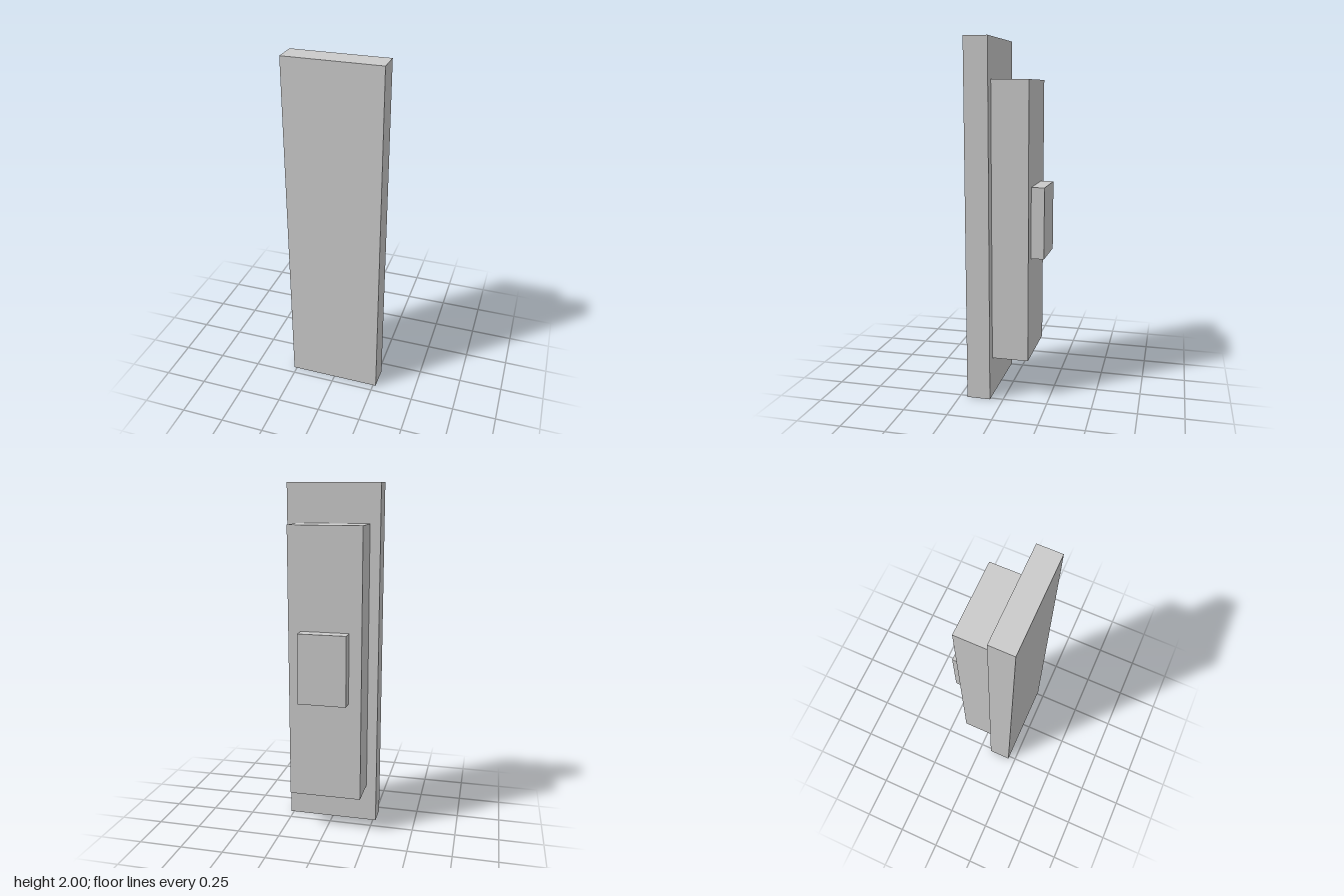
import * as THREE from 'three';

export function createModel() {
  const group = new THREE.Group();
  const material = new THREE.MeshStandardMaterial({ color: 0xcccccc, flatShading: true });

  // A block centred on x, spanning the given heights and depths
  function addBlock(name, width, y0, y1, zBack, zFront) {
    const mesh = new THREE.Mesh(new THREE.BoxGeometry(width, y1 - y0, zFront - zBack), material);
    mesh.name = name;
    mesh.position.set(0, (y0 + y1) / 2, (zBack + zFront) / 2);
    group.add(mesh);
  }

  // Three stepped blocks, stacked from front to back
  addBlock('frontPlate', 0.534, 0, 2, 0.073, 0.206);
  addBlock('middleBody', 0.416, 0.225, 1.778, -0.133, 0.073);
  addBlock('backBlock', 0.274, 0.8, 1.2, -0.206, -0.133);

  return group;
}
